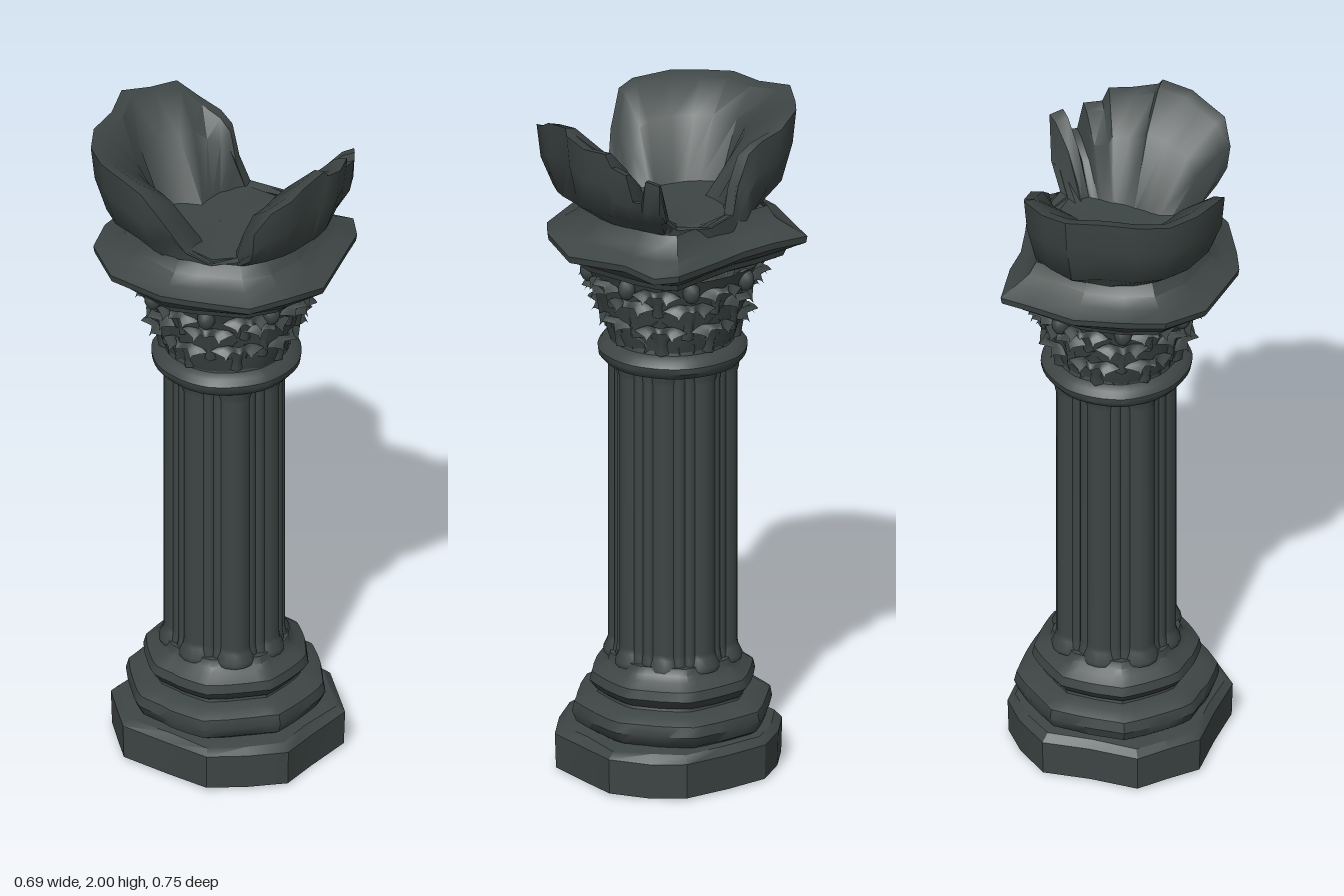
import * as THREE from 'three';
import { toCreasedNormals } from 'three/addons/utils/BufferGeometryUtils.js';

const stone = new THREE.MeshStandardMaterial({ color: 0x3d4544, side: THREE.DoubleSide });
stone.name = 'darkStone';
const CX = 0.014, CZ = 0.012; // axis of the column
const RAD = Math.PI / 180;

// Repeatable noise in -1..1
const noise = (i) => { const s = Math.sin(i * 12.9898) * 43758.5453; return (s - Math.floor(s)) * 2 - 1; };

// Point at angle a (0 = front, growing towards +x)
const polar = (a, r, y) => [r * Math.sin(a), y, r * Math.cos(a)];

// Skin closed rings of equal length
function loft(rings, crease = 0.6) {
  const n = rings[0].length, index = [];
  for (let i = 0; i < rings.length - 1; i++) {
    for (let j = 0; j < n; j++) {
      const k = (j + 1) % n, a = i * n + j, b = i * n + k, c = b + n, d = a + n;
      index.push(a, b, c, a, c, d);
    }
  }
  const g = new THREE.BufferGeometry();
  g.setAttribute('position', new THREE.Float32BufferAttribute(rings.flat(2), 3));
  g.setIndex(index);
  return toCreasedNormals(g, crease);
}

// Plan outline of [x, z] scaled through a profile of [scale, y], widest rows worn
const outlineLoft = (outline, profile, wear) => loft(profile.map(([s, y]) =>
  outline.map(([x, z], i) => [x * s, y + (s > 0.95 ? wear * noise(i) : 0), z * s])), 0.5);

function add(parent, name, geometry, x = 0, y = 0, z = 0) {
  const m = new THREE.Mesh(geometry, stone);
  m.name = name;
  m.position.set(x, y, z);
  parent.add(m);
  return m;
}

// Octagonal moulding: profile of [apothem, y]; round = 0 octagon .. 1 circle
function octagonMoulding(profile, round, wear, cols = 48) {
  return loft(profile.map(([ap, y], row) => Array.from({ length: cols }, (_, j) => {
    const a = (j / cols) * Math.PI * 2;
    const rel = a - Math.round(a / (Math.PI / 4)) * (Math.PI / 4);
    const r = ap * THREE.MathUtils.lerp(1 / Math.cos(rel), 1.02, round);
    const chip = 1 + wear * noise(Math.floor(j / 3) + 1) + wear * 0.4 * noise(row * 7 + Math.floor(j / 4));
    return polar(a, r * chip, y);
  })));
}

// Curled leaf with a lobed outline, wrapped around the bell
function leaf(angle, y0, h, r0, lean, out, width) {
  const g = new THREE.PlaneGeometry(1, 1, 8, 12);
  const p = g.attributes.position;
  for (let i = 0; i < p.count; i++) {
    const u = p.getX(i) * 2, v = p.getY(i) + 0.5;
    const lobes = 1 + 0.2 * Math.cos(v * Math.PI * 5 + 1);
    const w = width * (0.5 + 0.5 * Math.sin(Math.PI * Math.min(1, v * 0.85 + 0.1))) * lobes;
    const fold = 0.012 * Math.cos(u * 6) - 0.014 * u * u;
    const r = r0 + lean * v + out * Math.pow(v, 1.6) + fold;
    const a = angle + (u * w * 0.5) / r;
    p.setXYZ(i, ...polar(a, r, y0 + h * Math.sin(v * 2.1) - 0.03 * u * u * v));
  }
  g.computeVertexNormals();
  return g;
}

export function createModel() {
  const model = new THREE.Group();
  model.name = 'ruinedColumn';
  const column = new THREE.Group();
  column.name = 'column';
  column.position.set(CX, 0, CZ);
  model.add(column);

  // Hollow chamfered plinth
  const plinthPlan = [
    [0, 0.32], [0.15, 0.33], [0.232, 0.245], [0.303, 0.165], [0.305, 0.02], [0.3, -0.11], [0.235, -0.2], [0.14, -0.28],
    [0, -0.272], [-0.145, -0.28], [-0.215, -0.21], [-0.285, -0.135], [-0.278, 0.02], [-0.286, 0.16], [-0.21, 0.25], [-0.12, 0.328],
  ];
  add(model, 'plinth', outlineLoft(plinthPlan,
    [[0.72, 0.12], [0.93, 0.07], [0.94, 0.006], [0.99, 0.006], [1, 0.11], [0.93, 0.13], [0.75, 0.137]], 0.005));

  // Stepped base mouldings
  add(column, 'lowerBaseMoulding', octagonMoulding(
    [[0.24, 0.13], [0.262, 0.145], [0.274, 0.175], [0.268, 0.205], [0.238, 0.222], [0.205, 0.228], [0.2, 0.25]], 0.3, 0.012));
  add(column, 'upperBaseMoulding', octagonMoulding(
    [[0.19, 0.225], [0.21, 0.24], [0.228, 0.265], [0.222, 0.292], [0.195, 0.31], [0.178, 0.325], [0.172, 0.345], [0.13, 0.35]], 0.4, 0.01));

  // Clustered shaft: core, large and slender colonnettes, each with foot and neck
  add(column, 'shaftCore', new THREE.CylinderGeometry(0.147, 0.15, 0.92, 32, 1, true), 0, 0.79, 0);
  const colonnette = (r) => new THREE.LatheGeometry([
    [r * 1.25, 0.325], [r * 1.3, 0.34], [r * 1.05, 0.365], [r, 0.38], [r, 1.2], [r * 1.1, 1.215], [r * 1.15, 1.24],
  ].map(([x, y]) => new THREE.Vector2(x, y)), 14);
  const large = colonnette(0.047), slender = colonnette(0.019);
  [0.128, 0.12, 0.129, 0.14, 0.128, 0.135, 0.129, 0.14].forEach((R, i) => {
    const a = (i * Math.PI) / 4;
    add(column, 'largeColonnette', large, ...polar(a, R, 0));
    for (const s of [-1, 1]) add(column, 'slenderColonnette', slender, ...polar(a + s * 0.29, 0.148, 0));
  });

  // Necking ring
  add(column, 'neckRing', octagonMoulding(
    [[0.165, 1.225], [0.193, 1.236], [0.208, 1.255], [0.21, 1.272], [0.198, 1.29], [0.176, 1.3], [0.172, 1.32]], 0.85, 0.006));

  // Leafy capital
  const capital = new THREE.Group();
  capital.name = 'capital';
  column.add(capital);
  add(capital, 'bell', octagonMoulding(
    [[0.168, 1.29], [0.182, 1.33], [0.2, 1.4], [0.218, 1.47], [0.24, 1.53], [0.25, 1.55]], 0.8, 0.02));
  const boss = new THREE.IcosahedronGeometry(0.026, 1);
  for (let i = 0; i < 8; i++) {
    const a = (i * Math.PI) / 4, b = a + Math.PI / 8, n = noise(i + 3);
    add(capital, 'lowerLeaf', leaf(a, 1.305 + 0.008 * n, 0.1, 0.185, 0.015, 0.035, 0.15));
    add(capital, 'upperLeaf', leaf(b, 1.355, 0.125 + 0.01 * n, 0.2, 0.02, 0.034, 0.15));
    add(capital, 'crownLeaf', leaf(a + 0.1 * n, 1.43, 0.095, 0.215, 0.025, 0.032, 0.14));
    const knob = add(capital, 'boss', boss, ...polar(b, 0.245, 1.515));
    knob.scale.set(1, 1.3, 1);
  }

  // Irregular flared abacus
  const abacusPlan = [
    [0, 0.365], [0.2, 0.31], [0.29, 0.27], [0.34, 0.22], [0.3, 0.05], [0.28, -0.05], [0.28, -0.15], [0.265, -0.28],
    [0.17, -0.3], [0.03, -0.335], [-0.12, -0.32], [-0.23, -0.28], [-0.31, -0.16], [-0.345, 0.04], [-0.31, 0.125], [-0.235, 0.275], [-0.14, 0.34],
  ];
  add(model, 'abacus', outlineLoft(abacusPlan, [
    [0.6, 1.54], [0.76, 1.54], [0.82, 1.55], [0.84, 1.568], [0.9, 1.578], [0.99, 1.6], [1, 1.62],
    [0.86, 1.642], [0.76, 1.665], [0.7, 1.7],
  ], 0.012));

  // Broken crown: [degrees, rim radius, rim height, inner foot radius]
  const rim = [
    [-42, 0.27, 1.72, 0.2], [-39, 0.375, 1.87, 0.18], [-32, 0.39, 1.94, 0.15], [-22, 0.385, 1.96, 0.14],
    [-15, 0.38, 1.985, 0.14], [-1, 0.372, 2.0, 0.14], [1, 0.376, 1.98, 0.14], [12, 0.375, 1.96, 0.15],
    [23, 0.37, 1.96, 0.16], [26, 0.365, 1.92, 0.16], [34, 0.38, 1.91, 0.18], [37, 0.375, 1.83, 0.19],
    [41, 0.38, 1.83, 0.2], [43, 0.385, 1.9, 0.21], [49, 0.39, 1.89, 0.21], [52, 0.35, 1.76, 0.2], [57, 0.27, 1.71, 0.2],
    [80, 0.25, 1.7, 0.18], [104, 0.225, 1.71, 0.18], [112, 0.22, 1.79, 0.18], [118, 0.24, 1.88, 0.16], [126, 0.265, 1.91, 0.15],
    [137, 0.31, 1.93, 0.125], [147, 0.35, 1.97, 0.11], [160, 0.36, 1.965, 0.095],
    [174, 0.38, 1.98, 0.13], [190, 0.345, 1.97, 0.19], [207, 0.365, 1.97, 0.16], [221, 0.37, 1.96, 0.14],
    [236, 0.36, 1.96, 0.12], [255, 0.34, 1.95, 0.11], [263, 0.33, 1.93, 0.11], [273, 0.29, 1.83, 0.11],
    [283, 0.25, 1.73, 0.13], [300, 0.25, 1.7, 0.19],
  ];
  const layer = (f) => rim.map(([deg, R, H, foot]) => { const [r, y] = f(R, H, foot); return polar(deg * RAD, r, y); });
  add(model, 'brokenCrown', loft([
    layer((R) => [Math.min(0.23, R), 1.65]),
    layer((R, H) => [Math.min(0.235, R), Math.min(H, 1.685)]),
    layer((R, H) => [Math.min(R, Math.max(0.24, R * 0.88)), Math.min(H, 1.755)]),
    layer((R, H) => [R * 0.97, Math.max(Math.min(H, 1.8), H - 0.1)]),
    layer((R, H) => [R, H]),
    layer((R, H, f) => [Math.max(f, R - 0.035), H - 0.008]),
    layer((R, H, f) => [f + (R - f) * 0.42, Math.min(H, 1.7 + (H - 1.7) * 0.66)]),
    layer((R, H, f) => [f, 1.705]),
    layer(() => [0.001, 1.7]),
  ], 0.75));

  return model;
}
